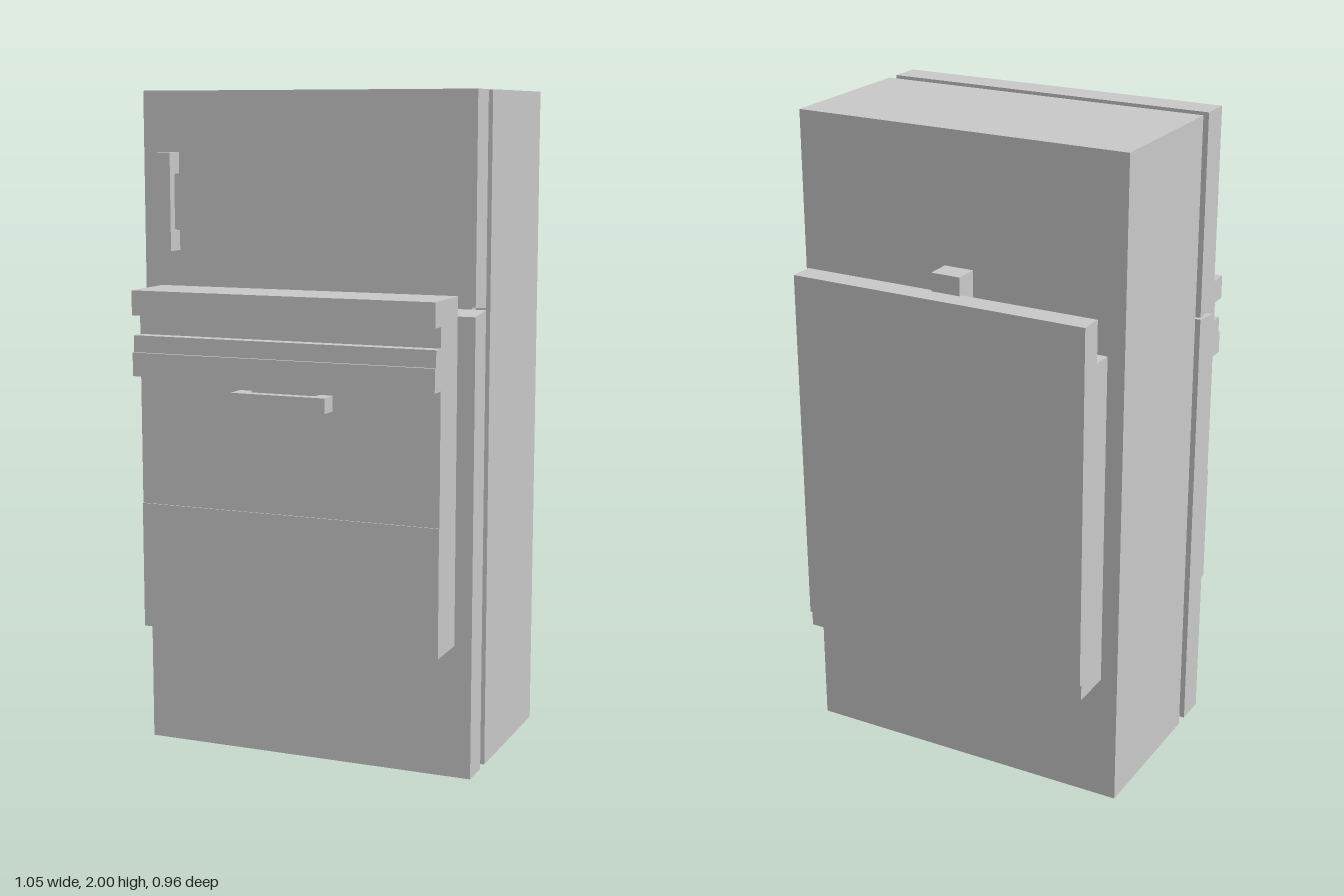
import * as THREE from 'three';

const material = new THREE.MeshStandardMaterial({ color: 0xcccccc, flatShading: true });

export function createModel() {
  const group = new THREE.Group();

  const add = (name, geometry) => {
    const mesh = new THREE.Mesh(geometry, material);
    mesh.name = name;
    group.add(mesh);
  };

  // Box given by its extents on each axis
  const box = (name, [x0, x1], [y0, y1], [z0, z1]) => {
    const g = new THREE.BoxGeometry(x1 - x0, y1 - y0, z1 - z0);
    g.translate((x0 + x1) / 2, (y0 + y1) / 2, (z0 + z1) / 2);
    add(name, g);
  };

  // Side profile of [z, y] points, extruded from x0 to x1
  const profile = (name, points, x0, x1) => {
    const shape = new THREE.Shape(points.map(([z, y]) => new THREE.Vector2(z, y)));
    const g = new THREE.ExtrudeGeometry(shape, { depth: x1 - x0, bevelEnabled: false });
    g.rotateY(-Math.PI / 2).translate(x1, 0, 0);
    add(name, g);
  };

  const W = 0.523; // half width of cabinet and doors
  const P = 0.47;  // half width of front and back panels

  // Cabinet and the recessed seal between it and the doors
  box('cabinet', [-W, W], [0, 2], [-0.34, 0.142]);
  box('doorSeal', [-0.48, 0.48], [0.045, 1.96], [0.142, 0.182]);

  // Doors, with a wedge-shaped gap between them
  profile('upperDoor', [[0.182, 1.382], [0.278, 1.392], [0.278, 2], [0.182, 2]], -W, W);
  profile('lowerDoor', [[0.182, 0], [0.278, 0], [0.278, 1.365], [0.182, 1.376]], -W, W);

  // Upper door handle: bar on two posts
  profile('upperHandle', [
    [0.278, 1.53], [0.338, 1.53], [0.338, 1.82], [0.278, 1.82],
    [0.278, 1.757], [0.31, 1.757], [0.31, 1.59], [0.278, 1.59],
  ], -0.455, -0.407);

  // Front panel with ledge and stepped rail
  profile('frontPanel', [
    [0.278, 0.4], [0.424, 0.4], [0.424, 0.78], [0.42, 0.78], [0.42, 1.17],
    [0.47, 1.17], [0.47, 1.24], [0.46, 1.24], [0.46, 1.29], [0.42, 1.29],
    [0.42, 1.35], [0.47, 1.35], [0.47, 1.423], [0.278, 1.423],
  ], -P, P);

  // Front panel pull: bar on two posts
  box('pullBar', [-0.147, 0.145], [1.095, 1.14], [0.45, 0.48]);
  for (const x of [-0.147, 0.105]) {
    box('pullPost', [x, x + 0.04], [1.095, 1.14], [0.42, 0.45]);
  }

  // Back panel with raised slab, and the tab above it
  profile('backPanel', [
    [-0.34, 0.4], [-0.34, 1.423], [-0.405, 1.423], [-0.405, 1.55],
    [-0.48, 1.55], [-0.48, 0.45], [-0.47, 0.45], [-0.47, 0.4],
  ], -P, P);
  box('backTab', [-0.046, 0.046], [1.423, 1.605], [-0.415, -0.34]);

  return group;
}
